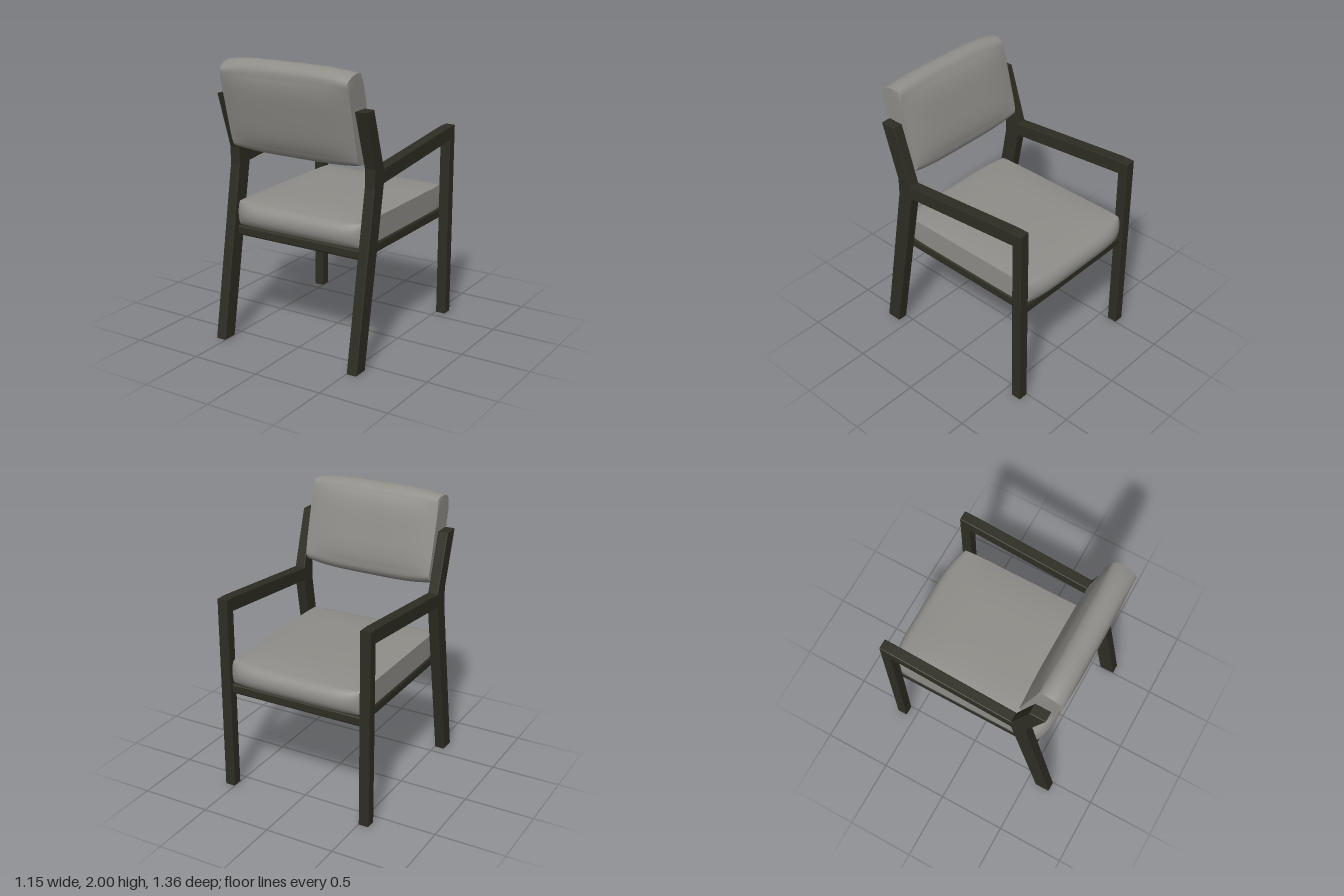
import * as THREE from 'three';
import { toCreasedNormals } from 'three/addons/utils/BufferGeometryUtils.js';
import { RoundedBoxGeometry } from 'three/addons/geometries/RoundedBoxGeometry.js';

// Padded block: crowned faces (top and bottom), rounded ends along z, flat sides.
function cushionGeometry({ halfWidth, halfThick, halfLength, crownTop, crownBottom, endBulge, cornerDrop, cornerPower }) {
  const geo = new THREE.BoxGeometry(2, 2, 2, 28, 10, 28);
  const p = geo.attributes.position;
  for (let i = 0; i < p.count; i++) {
    const s = Math.sin(p.getX(i) * Math.PI / 2);
    const v = Math.sin(p.getY(i) * Math.PI / 2);
    const u = p.getZ(i);
    const crown = (v > 0 ? crownTop : crownBottom) * (1 - u ** 4) * (1 - s ** 4);
    const bulge = endBulge * Math.sqrt(Math.max(0, 1 - v * v)) * (1 - cornerDrop * Math.abs(s) ** cornerPower);
    const pinch = 0.008 * u ** 8 * v * v;
    p.setXYZ(i, s * (halfWidth - pinch), v * (halfThick + crown), u * (halfLength + bulge));
  }
  return toCreasedNormals(geo, 0.9);
}

export function createModel() {
  const group = new THREE.Group();
  const wood = new THREE.MeshStandardMaterial({ color: 0x2e2d22 });
  wood.name = 'dark wood';
  const fabric = new THREE.MeshStandardMaterial({ color: 0x8f8d88 });
  fabric.name = 'grey fabric';

  const add = (name, geometry, material) => {
    const mesh = new THREE.Mesh(geometry, material);
    mesh.name = name;
    group.add(mesh);
    return mesh;
  };

  // Side frame outline as (z, y): raked leg, back post, sloping arm, upright leg
  const outline = [
    [0.57, 0], [0.68, 0], [0.468, 1.22], [0.468, 1.345], [0.592, 1.738],
    [0.478, 1.738], [0.35, 1.33], [-0.56, 1.42], [-0.642, 1.42], [-0.642, 0],
    [-0.568, 0], [-0.568, 1.32], [0.348, 1.23],
  ].map(([z, y]) => new THREE.Vector2(z, y));
  const bevel = 0.006;
  const frame = new THREE.ExtrudeGeometry(new THREE.Shape(outline), {
    depth: 0.076 - 2 * bevel, bevelThickness: bevel, bevelSize: bevel,
    bevelOffset: -bevel, bevelSegments: 2,
  });
  frame.translate(0, 0, -0.038 + bevel);
  frame.rotateY(-Math.PI / 2);
  for (const side of [1, -1]) {
    add(side > 0 ? 'leftFrame' : 'rightFrame', frame, wood).position.x = side * 0.538;
  }

  // Seat panel between the side frames
  add('seatPanel', new RoundedBoxGeometry(1.005, 0.07, 1.13, 3, 0.015), wood)
    .position.set(0, 0.765, -0.06);

  // Seat cushion
  add('seatCushion', cushionGeometry({
    halfWidth: 0.496, halfThick: 0.085, halfLength: 0.545, crownTop: 0.025,
    crownBottom: 0.006, endBulge: 0.075, cornerDrop: 0.85, cornerPower: 6,
  }), fabric).position.set(0, 0.89, -0.06);

  // Tilted back cushion
  const back = add('backCushion', cushionGeometry({
    halfWidth: 0.496, halfThick: 0.09, halfLength: 0.26, crownTop: 0.024,
    crownBottom: 0.024, endBulge: 0.075, cornerDrop: 0.4, cornerPower: 4,
  }), fabric);
  back.position.set(0, 1.67, 0.515);
  back.rotation.x = -Math.PI / 2 + 0.24;

  return group;
}
